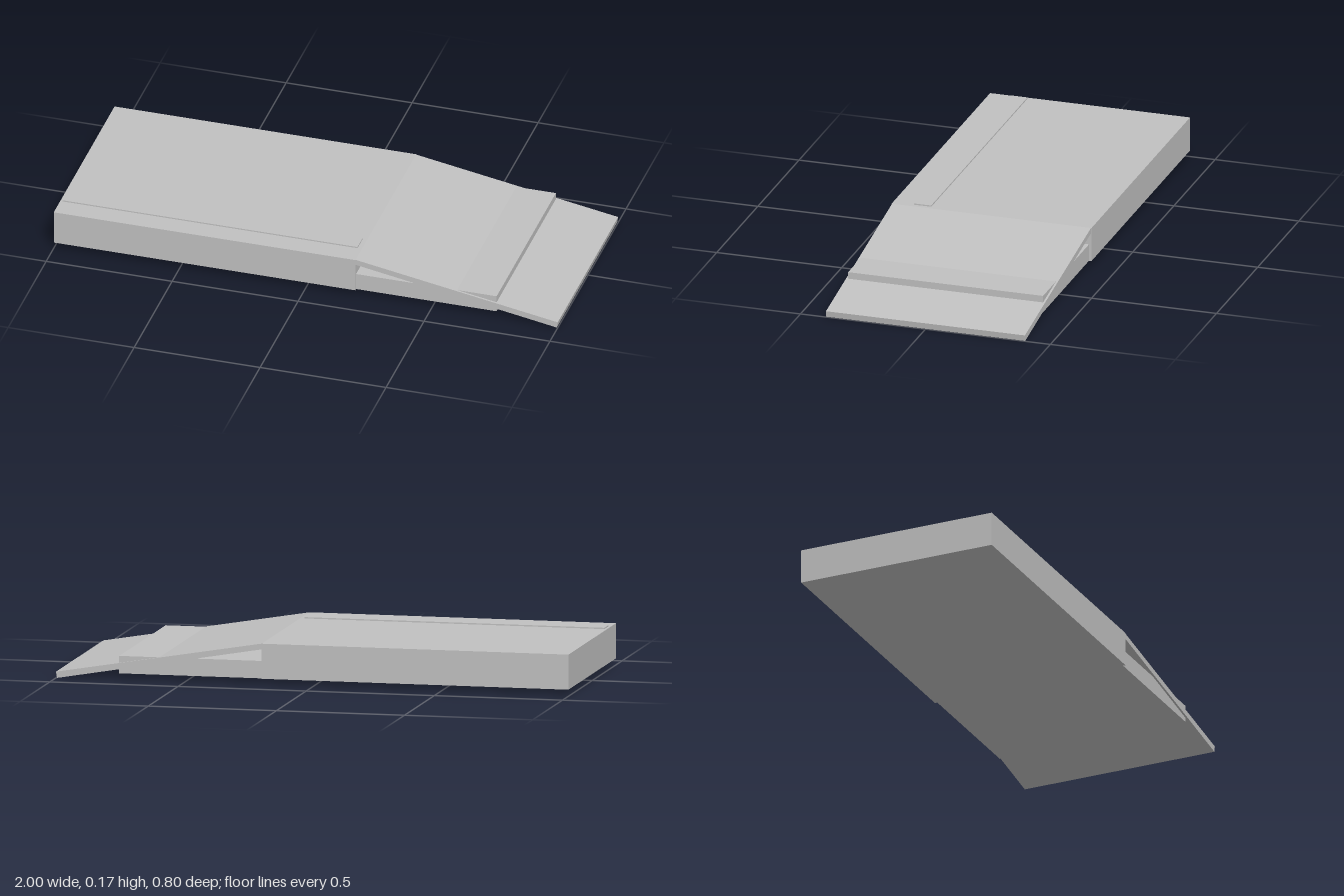
import * as THREE from 'three';

export function createModel() {
  const model = new THREE.Group();
  const grey = new THREE.MeshStandardMaterial({ color: 0xc0c0c0 });
  grey.name = 'plain grey';

  // Box given by its limits along each axis
  function block(name, [x0, x1], [y0, y1], [z0, z1]) {
    const mesh = new THREE.Mesh(new THREE.BoxGeometry(x1 - x0, y1 - y0, z1 - z0), grey);
    mesh.position.set((x0 + x1) / 2, (y0 + y1) / 2, (z0 + z1) / 2);
    mesh.name = name;
    model.add(mesh);
  }

  // Raised platform, low extension under the ramp, and thin strip on the deck
  block('platform', [-1, 0.197], [0.025, 0.16], [-0.4, 0.4]);
  block('lowerBase', [0.197, 0.755], [0.025, 0.092], [-0.39, 0.39]);
  block('deckStrip', [-0.99, 0.18], [0.16, 0.165], [0.247, 0.315]);

  // Sloping ramp plate, passing through the lower base down to the ground
  const profile = new THREE.Shape([
    [0.197, 0.138], [0.996, 0], [1, 0.024], [0.197, 0.16],
  ].map(([x, y]) => new THREE.Vector2(x, y)));
  const rampGeometry = new THREE.ExtrudeGeometry(profile, { depth: 0.796, bevelEnabled: false });
  rampGeometry.translate(0, 0, -0.398);
  const ramp = new THREE.Mesh(rampGeometry, grey);
  ramp.name = 'ramp';
  model.add(ramp);

  return model;
}
